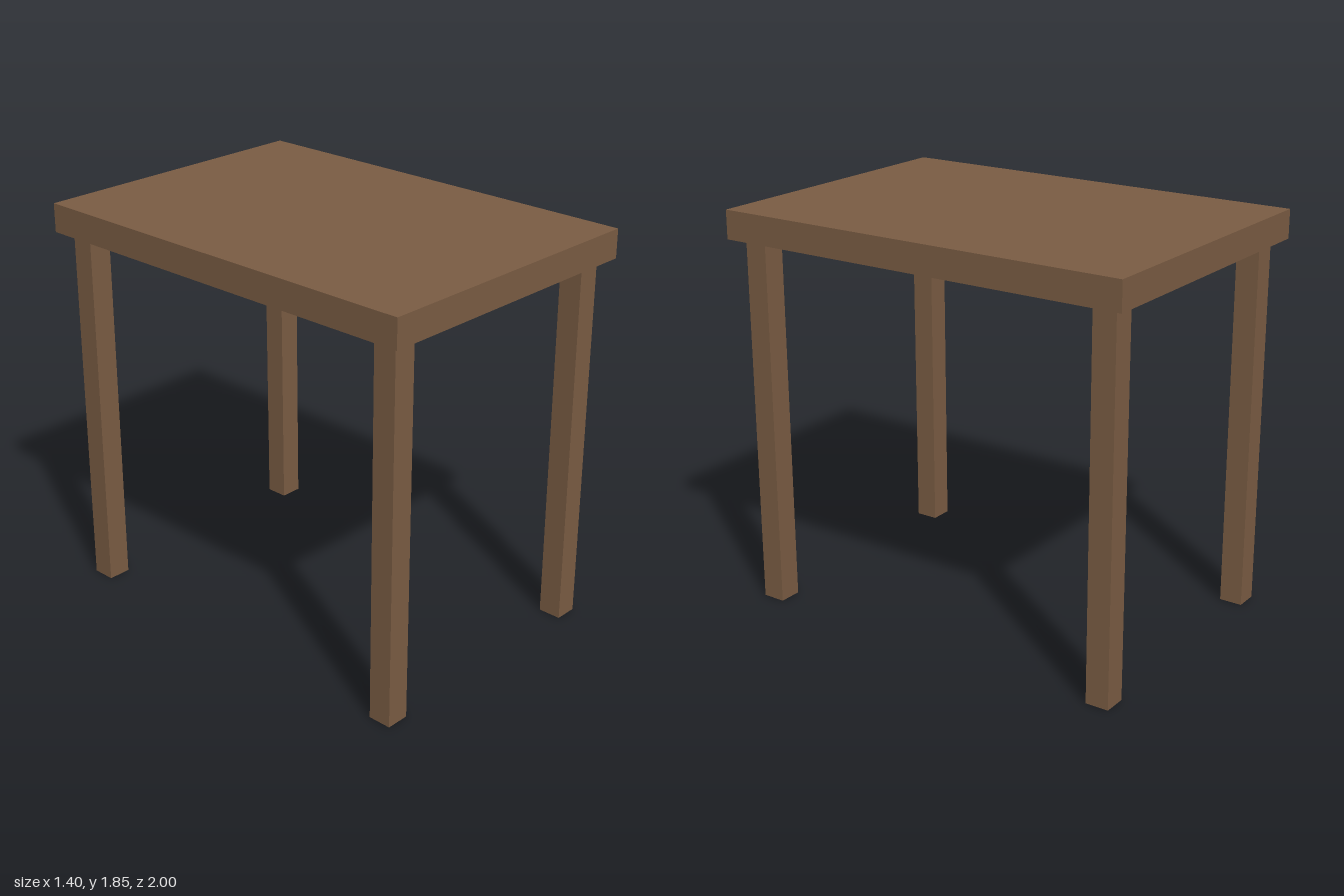
import * as THREE from 'three';

export function createModel() {
  const model = new THREE.Group();
  model.name = 'table';
  const wood = new THREE.MeshStandardMaterial({ color: 0x7a5c43 });

  const legHeight = 1.72, legWidth = 0.108, topThickness = 0.132;

  // Box standing on height y
  function addBox(name, width, height, depth, x, y, z) {
    const mesh = new THREE.Mesh(new THREE.BoxGeometry(width, height, depth), wood);
    mesh.name = name;
    mesh.position.set(x, y + height / 2, z);
    model.add(mesh);
  }

  // Slab top
  addBox('tableTop', 1.404, topThickness, 2, 0, legHeight, 0);

  // Four square legs, set in from the corners
  for (const [side, x] of [['Left', 0.59], ['Right', -0.59]]) {
    for (const [end, z] of [['front', 0.89], ['back', -0.89]]) {
      addBox(`${end}${side}Leg`, legWidth, legHeight, legWidth, x, 0, z);
    }
  }

  return model;
}
